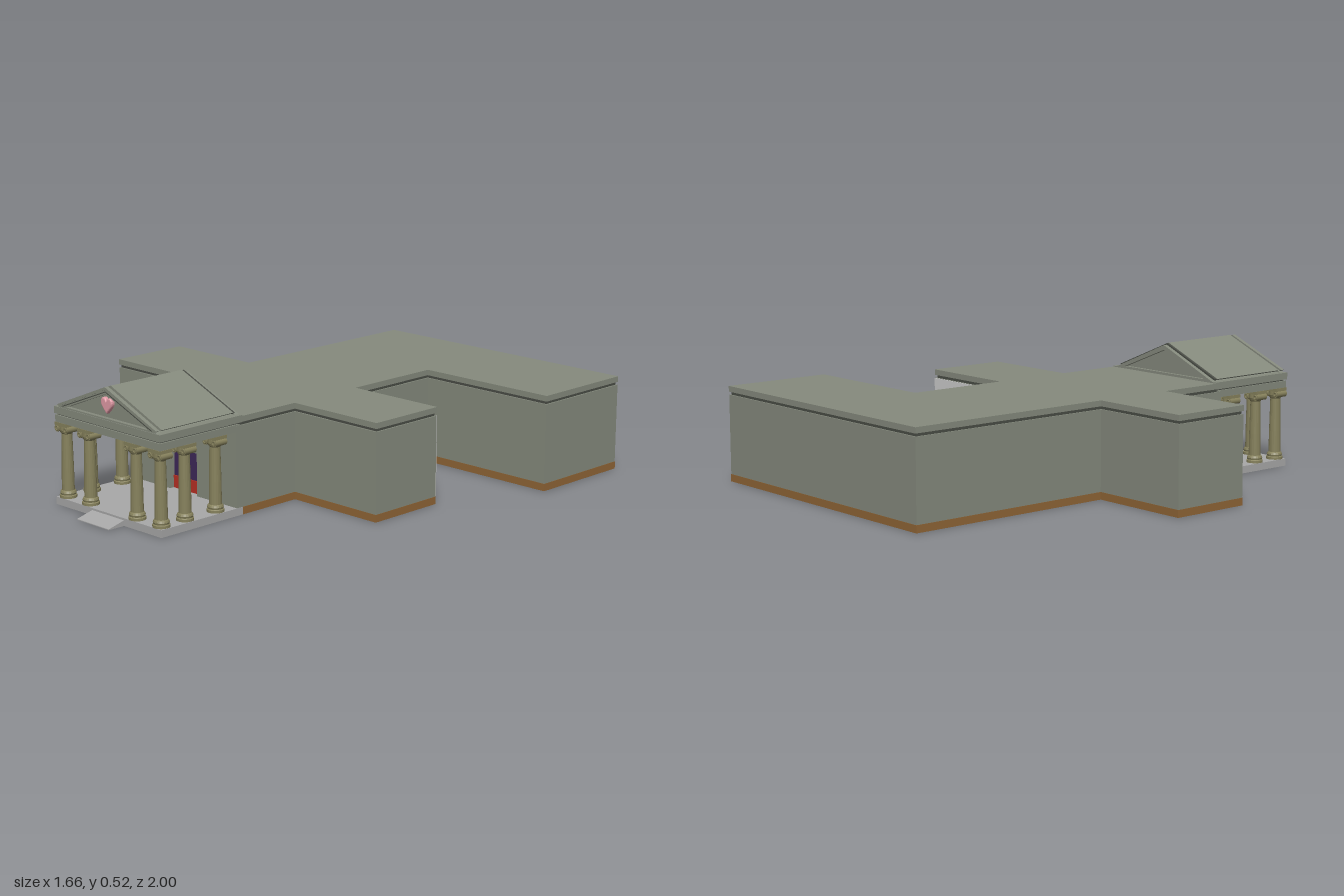
import * as THREE from 'three';

const CX = -0.095; // centre line of the portico
const mat = (color, extra = {}) => new THREE.MeshStandardMaterial({ color, ...extra });
const STONE = mat(0x858a7d), DARK = mat(0x4a4d46), BROWN = mat(0x8f6536), GREY = mat(0xcccccc);
const PAVING = mat(0xa8a8a8), OLIVE = mat(0x86815c), PURPLE = mat(0x3d2858), RED = mat(0xb83024), PINK = mat(0xe09aa5);

function add(parent, name, geometry, material) {
  const mesh = new THREE.Mesh(geometry, material);
  mesh.name = name;
  parent.add(mesh);
  return mesh;
}

// box given by its limits
function box(parent, name, x0, x1, y0, y1, z0, z1, material) {
  const g = new THREE.BoxGeometry(x1 - x0, y1 - y0, z1 - z0);
  g.translate((x0 + x1) / 2, (y0 + y1) / 2, (z0 + z1) / 2);
  return add(parent, name, g, material);
}

const polygon = pts => new THREE.Shape(pts.map(p => new THREE.Vector2(...p)));

// upright slab of the building's plan, drawn in by e, with an optional door recess
function floorSlab(parent, name, y0, y1, e, front, material, recess = false) {
  const door = recess ? [[-0.015, front], [-0.015, front - 0.03], [-0.172, front - 0.03], [-0.172, front]] : [];
  const plan = [
    [0.21 - e, front], ...door, [-0.4 + e, front],
    [-0.4 + e, 0.23 - e], [-0.83 + e, 0.23 - e], [-0.83 + e, -0.11 + e], [-0.4 + e, -0.11 + e],
    [-0.4 + e, -1 + e], [0.83 - e, -1 + e], [0.83 - e, -0.54 - e], [0.21 - e, -0.54 - e],
    [0.21 - e, -0.11 + e], [0.64 - e, -0.11 + e], [0.64 - e, 0.23 - e], [0.21 - e, 0.23 - e],
  ].map(([x, z]) => [x, -z]);
  const g = new THREE.ExtrudeGeometry(polygon(plan), { depth: y1 - y0, bevelEnabled: false });
  g.rotateX(-Math.PI / 2).translate(0, y0, 0);
  return add(parent, name, g, material);
}

// prism along z from a front outline
function prism(parent, name, shape, z0, z1, material) {
  const g = new THREE.ExtrudeGeometry(shape, { depth: z1 - z0, bevelEnabled: false });
  g.translate(0, 0, z0);
  return add(parent, name, g, material);
}

const triangle = (half, base, top) => [[CX - half, base], [CX + half, base], [CX, top]];

function createColumn() {
  const column = new THREE.Group();
  column.name = 'column';
  // moulded base, tapering shaft and neck
  const profile = [
    [0, 0.03], [0.034, 0.03], [0.034, 0.04], [0.03, 0.043], [0.032, 0.05], [0.029, 0.057], [0.025, 0.06],
    [0.024, 0.15], [0.021, 0.285], [0.025, 0.29], [0.029, 0.3], [0.029, 0.318], [0, 0.318],
  ].map(p => new THREE.Vector2(...p));
  add(column, 'shaft', new THREE.LatheGeometry(profile, 20), OLIVE).material = mat(0x86815c, { flatShading: true });
  box(column, 'abacus', -0.034, 0.034, 0.317, 0.33, -0.031, 0.031, OLIVE);
  // scrolls on both sides of the capital
  for (const s of [-1, 1]) {
    const scroll = new THREE.CylinderGeometry(0.014, 0.014, 0.056, 14);
    scroll.rotateX(Math.PI / 2).translate(s * 0.025, 0.305, 0);
    add(column, 'scroll', scroll, OLIVE);
    for (const f of [-1, 1]) {
      const eye = new THREE.TorusGeometry(0.008, 0.003, 6, 12);
      add(column, 'scrollRing', eye.translate(s * 0.025, 0.305, f * 0.028), OLIVE);
    }
  }
  return column;
}

function createBuilding() {
  const g = new THREE.Group();
  g.name = 'building';
  floorSlab(g, 'plinth', 0, 0.03, 0, 0.51, BROWN);
  floorSlab(g, 'lowerWalls', 0.03, 0.225, 0.001, 0.54, STONE, true);
  floorSlab(g, 'upperWalls', 0.225, 0.353, 0.001, 0.54, STONE);
  floorSlab(g, 'corniceGroove', 0.353, 0.365, 0.007, 0.53, DARK);
  floorSlab(g, 'roof', 0.365, 0.388, 0, 0.52, STONE);
  box(g, 'paleWall', 0.212, 0.638, 0.031, 0.352, -0.113, -0.108, GREY);
  // entrance
  box(g, 'doorPanel', -0.172, -0.015, 0.08, 0.2, 0.505, 0.515, PURPLE);
  box(g, 'doorFoot', -0.172, -0.015, 0.03, 0.08, 0.505, 0.52, RED);
  box(g, 'doorLintel', -0.172, -0.015, 0.2, 0.225, 0.505, 0.537, STONE);
  return g;
}

function createPortico() {
  const g = new THREE.Group();
  g.name = 'portico';
  box(g, 'porchFloor', -0.4, 0.21, 0, 0.03, 0.51, 0.925, PAVING);

  // entrance ramp, a wedge swept across x
  const ramp = new THREE.ExtrudeGeometry(polygon([[0.925, 0], [1, 0], [1, 0.003], [0.925, 0.022]]),
    { depth: 0.185, bevelEnabled: false });
  ramp.rotateY(-Math.PI / 2);
  add(g, 'ramp', ramp, PAVING);

  // four columns in front, two more along each side
  const spots = [[-0.365, 0.893], [-0.23, 0.893], [0.04, 0.893], [0.175, 0.893]];
  for (const z of [0.775, 0.62]) spots.push([-0.365, z], [0.175, z]);
  for (const [x, z] of spots) {
    const column = createColumn();
    column.position.set(x, 0, z);
    g.add(column);
  }

  // beam and cornice
  box(g, 'beam', -0.397, 0.207, 0.33, 0.358, 0.52, 0.922, STONE);
  box(g, 'beamGroove', -0.39, 0.2, 0.358, 0.364, 0.52, 0.915, DARK);
  box(g, 'cornice', -0.4, 0.21, 0.364, 0.392, 0.51, 0.925, STONE);

  // gable: core with a moulded frame at each end
  prism(g, 'gable', polygon(triangle(0.278, 0.39, 0.505)), 0.525, 0.905, STONE);
  const frames = [[0.29, 0.235, 0.512, 0.492, 0.51, 0.53], [0.29, 0.235, 0.512, 0.492, 0.902, 0.922]];
  for (const [outer, inner, top, innerTop, z0, z1] of frames) {
    const shape = polygon(triangle(outer, 0.39, top));
    shape.holes.push(new THREE.Path(triangle(inner, 0.398, innerTop).reverse().map(p => new THREE.Vector2(...p))));
    prism(g, 'gableFrame', shape, z0, z1, STONE);
  }
  // raking mouldings and raised roof slabs
  for (const s of [-1, 1]) {
    const band = (a, b) => {
      const pts = [[CX + s * a, 0.396], [CX, 0.52 - b], [CX, 0.52], [CX + s * (a + 0.01), 0.402]];
      return polygon(s > 0 ? pts : pts.reverse());
    };
    prism(g, 'roofEdge', band(0.274, 0.012), 0.528, 0.538, DARK).scale.set(1, 0.997, 1);
    prism(g, 'roofSlab', band(0.275, 0.014), 0.538, 0.896, STONE);
    const rake = [[CX + s * 0.275, 0.396], [CX, 0.508], [CX, 0.519], [CX + s * 0.286, 0.402]];
    prism(g, 'rakeMoulding', polygon(rake), 0.908, 0.925, STONE);
    prism(g, 'rakeShadow', polygon([[CX + s * 0.252, 0.398], [CX, 0.498], [CX, 0.502], [CX + s * 0.262, 0.398]]),
      0.915, 0.923, DARK);
  }

  // heart on the gable
  const heart = new THREE.Shape();
  heart.moveTo(0, -0.034);
  heart.bezierCurveTo(0.012, -0.022, 0.032, -0.006, 0.032, 0.01);
  heart.bezierCurveTo(0.032, 0.032, 0.006, 0.034, 0, 0.016);
  heart.bezierCurveTo(-0.006, 0.034, -0.032, 0.032, -0.032, 0.01);
  heart.bezierCurveTo(-0.032, -0.006, -0.012, -0.022, 0, -0.034);
  const heartGeo = new THREE.ExtrudeGeometry(heart,
    { depth: 0.01, bevelThickness: 0.006, bevelSize: 0.006, bevelOffset: -0.006, bevelSegments: 3, curveSegments: 8 });
  add(g, 'heart', heartGeo.translate(CX, 0.449, 0.905), PINK);
  return g;
}

export function createModel() {
  const model = new THREE.Group();
  model.name = 'columnedBuilding';
  model.add(createBuilding(), createPortico());
  return model;
}
